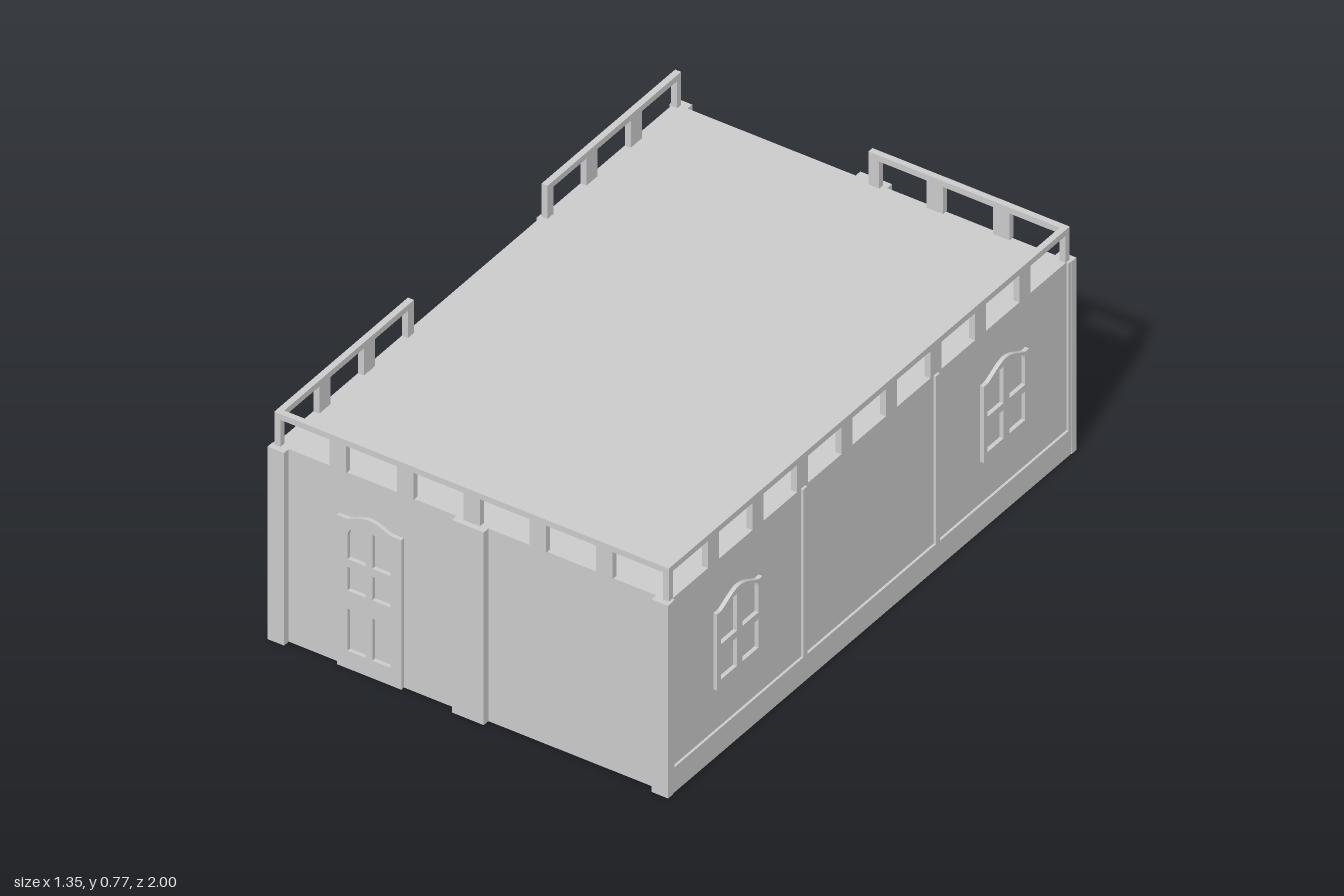
import * as THREE from 'three';
import { mergeGeometries } from 'three/addons/utils/BufferGeometryUtils.js';

const material = new THREE.MeshStandardMaterial({ color: 0xcccccc, side: THREE.DoubleSide });
const H = 0.655;          // roof height
const RAIL_TOP = 0.767;

const toShape = (pts) => new THREE.Shape(pts.map(([x, y]) => new THREE.Vector2(x, y)));
const rect = (x0, x1, y0, y1) => [[x0, y0], [x1, y0], [x1, y1], [x0, y1]];

// Flat sheet at depth z, with optional cut-outs
function sheet(outline, holes, z) {
  const shape = toShape(outline);
  shape.holes = holes.map(toShape);
  return new THREE.ShapeGeometry(shape).translate(0, 0, z).toNonIndexed();
}

// Band joining a closed contour at two depths
function band(pts, z0, z1) {
  const pos = [], uv = [];
  pts.forEach(([ax, ay], i) => {
    const [bx, by] = pts[(i + 1) % pts.length];
    pos.push(ax, ay, z0, bx, by, z0, bx, by, z1, ax, ay, z0, bx, by, z1, ax, ay, z1);
    uv.push(0, 0, 1, 0, 1, 1, 0, 0, 1, 1, 0, 1);
  });
  const g = new THREE.BufferGeometry();
  g.setAttribute('position', new THREE.Float32BufferAttribute(pos, 3));
  g.setAttribute('uv', new THREE.Float32BufferAttribute(uv, 2));
  g.computeVertexNormals();
  return g;
}

// Raised, hollow-backed piece with sunken panes
function relief(outline, panes, z0, z1) {
  const parts = [sheet(outline, panes, z1), band(outline, z0, z1)];
  panes.forEach((p) => parts.push(band(p, z0, z1), sheet(p, [], z0)));
  return mergeGeometries(parts);
}

function add(parent, name, geometry) {
  const mesh = new THREE.Mesh(geometry, material);
  mesh.name = name;
  parent.add(mesh);
  return mesh;
}

// Rectangle with small shoulders and a shallow arched top
function archedOutline(x0, x1, y0, y1, shoulder, rise) {
  const pts = [[x0, y0], [x1, y0], [x1, y1]];
  const c = (x0 + x1) / 2, r = (x1 - x0) / 2 - shoulder;
  for (let i = 0; i <= 12; i++) {
    const t = 1 - i / 6;
    pts.push([c + r * t, y1 + rise * (0.5 + 0.5 * Math.cos(t * Math.PI)) * 0.5 + rise * (1 - t * t) * 0.5]);
  }
  pts.push([x0, y1]);
  return pts;
}

// Pane whose outer top corner is rounded
function roundedPane(inner, outer, y0, y1, y2) {
  const pts = [[inner, y0], [outer, y0]];
  for (let i = 0; i <= 6; i++) {
    const a = (i / 6) * Math.PI / 2;
    pts.push([inner + (outer - inner) * (0.35 + 0.65 * Math.cos(a)), y1 + (y2 - y1) * Math.sin(a)]);
  }
  pts.push([inner, y2]);
  return pts;
}

// Rail along local x: top bar plus posts given as [centre, width]
function railing(parent, name, from, to, posts) {
  const rail = new THREE.Group();
  rail.name = name;
  const t = 0.02;
  add(rail, 'topBar', new THREE.BoxGeometry(to - from, t, t)).position.set((from + to) / 2, RAIL_TOP - t / 2, 0);
  for (const [x, w] of posts) {
    add(rail, 'post', new THREE.BoxGeometry(w, RAIL_TOP - t - H, t)).position.set(x, (RAIL_TOP - t + H) / 2, 0);
  }
  parent.add(rail);
  return rail;
}

// Front or back wall, facing local +z
function endWall(name, withDoor) {
  const wall = new THREE.Group();
  wall.name = name;
  const z0 = 0.977, holes = [];
  if (withDoor) {
    const c = -0.3375;
    const outline = archedOutline(c - 0.108, c + 0.108, 0, 0.508, 0.035, 0.023);
    const panes = [];
    for (const s of [-1, 1]) {
      const [a, b] = [c + s * 0.011, c + s * 0.072];
      panes.push(rect(a, b, 0.06, 0.203), rect(a, b, 0.265, 0.345), roundedPane(a, b, 0.372, 0.452, 0.487));
    }
    add(wall, 'door', relief(outline, panes, z0, 0.99));
    // the sheet is cut at floor level, so the opening is part of its outline
    holes.push(outline);
  }
  const left = withDoor
    ? [[-0.615, 0], holes[0][0], ...holes[0].slice(2).reverse(), holes[0][1], [-0.053, 0], [-0.053, H], [-0.615, H]]
    : rect(-0.615, -0.053, 0, H);
  add(wall, 'wallSheet', sheet(left, [], z0));
  add(wall, 'wallSheet', sheet(rect(0.053, 0.615, 0, H), [], z0));
  for (const [a, b] of [[-0.67, -0.615], [-0.053, 0.053], [0.615, 0.67]]) {
    add(wall, 'pilaster', relief(rect(a, b, 0, H), [], z0, 1));
  }
  return wall;
}

// Long side wall, facing local +z
function sideWall(name) {
  const wall = new THREE.Group();
  wall.name = name;
  const z0 = 0.66, z1 = 0.668, base = 0.085, edge = 0.977;
  const bays = [[-0.965, -0.335], [-0.315, 0.315], [0.335, 0.965]];
  // plinth and ribs as one comb-shaped piece
  const comb = [[edge, 0], [edge, H]];
  [...bays].reverse().forEach(([a, b]) => comb.push([b, H], [b, base], [a, base], [a, H]));
  comb.push([-edge, H], [-edge, 0]);
  add(wall, 'plinthAndRibs', relief(comb, [], z0, z1));
  bays.forEach(([a, b], i) => {
    const holes = [];
    if (i !== 1) {
      const c = (i - 1) * 0.653;
      const outline = archedOutline(c - 0.111, c + 0.111, 0.228, 0.487, 0.02, 0.035);
      const panes = [];
      for (const s of [-1, 1]) {
        const [p, q] = [c + s * 0.014, c + s * 0.092];
        panes.push(rect(p, q, 0.255, 0.352), roundedPane(p, q, 0.375, 0.465, 0.5));
      }
      add(wall, 'window', relief(outline, panes, z0, 0.673));
      holes.push(outline);
    }
    add(wall, 'wallPanel', sheet(rect(a, b, base, H), holes, z0));
  });
  return wall;
}

export function createModel() {
  const model = new THREE.Group();
  model.name = 'building';

  // Roof deck
  const roof = add(model, 'roof', new THREE.PlaneGeometry(1.32, 1.954));
  roof.rotation.x = -Math.PI / 2;
  roof.position.y = H;

  // Walls
  model.add(endWall('frontWall', true));
  const back = endWall('backWall', false);
  back.rotation.y = Math.PI;
  model.add(back);
  for (const s of [-1, 1]) {
    const side = sideWall(s > 0 ? 'leftWall' : 'rightWall');
    side.rotation.y = s * Math.PI / 2;
    model.add(side);
  }

  // Front rail, full width, and half rail at the back
  const ends = [[-0.65, 0.02], [0.65, 0.02]];
  railing(model, 'frontRail', -0.66, 0.66,
    [...ends, ...[-0.447, -0.222, 0, 0.222, 0.444].map((x) => [x, 0.055])]).position.z = 0.972;
  railing(model, 'backRail', 0, 0.66,
    [[0.018, 0.036], [0.222, 0.055], [0.444, 0.055], [0.65, 0.02]]).position.z = -0.972;

  // Side rails: one full, the other open in the middle (local x = -z)
  const full = [[-0.972, 0.02], [0.972, 0.02]];
  for (const s of [-1, 1]) for (const c of [0.109, 0.327, 0.545, 0.763]) full.push([s * c, 0.055]);
  const long = railing(model, 'leftRail', -0.982, 0.982, full);
  long.rotation.y = Math.PI / 2;
  long.position.x = 0.65;
  for (const s of [-1, 1]) {
    const posts = [[s * 0.972, 0.02], [s * 0.763, 0.055], [s * 0.545, 0.055], [s * 0.342, 0.03]];
    const r = railing(model, 'rightRail', Math.min(s * 0.327, s * 0.982), Math.max(s * 0.327, s * 0.982), posts);
    r.rotation.y = Math.PI / 2;
    r.position.x = -0.65;
  }
  return model;
}
